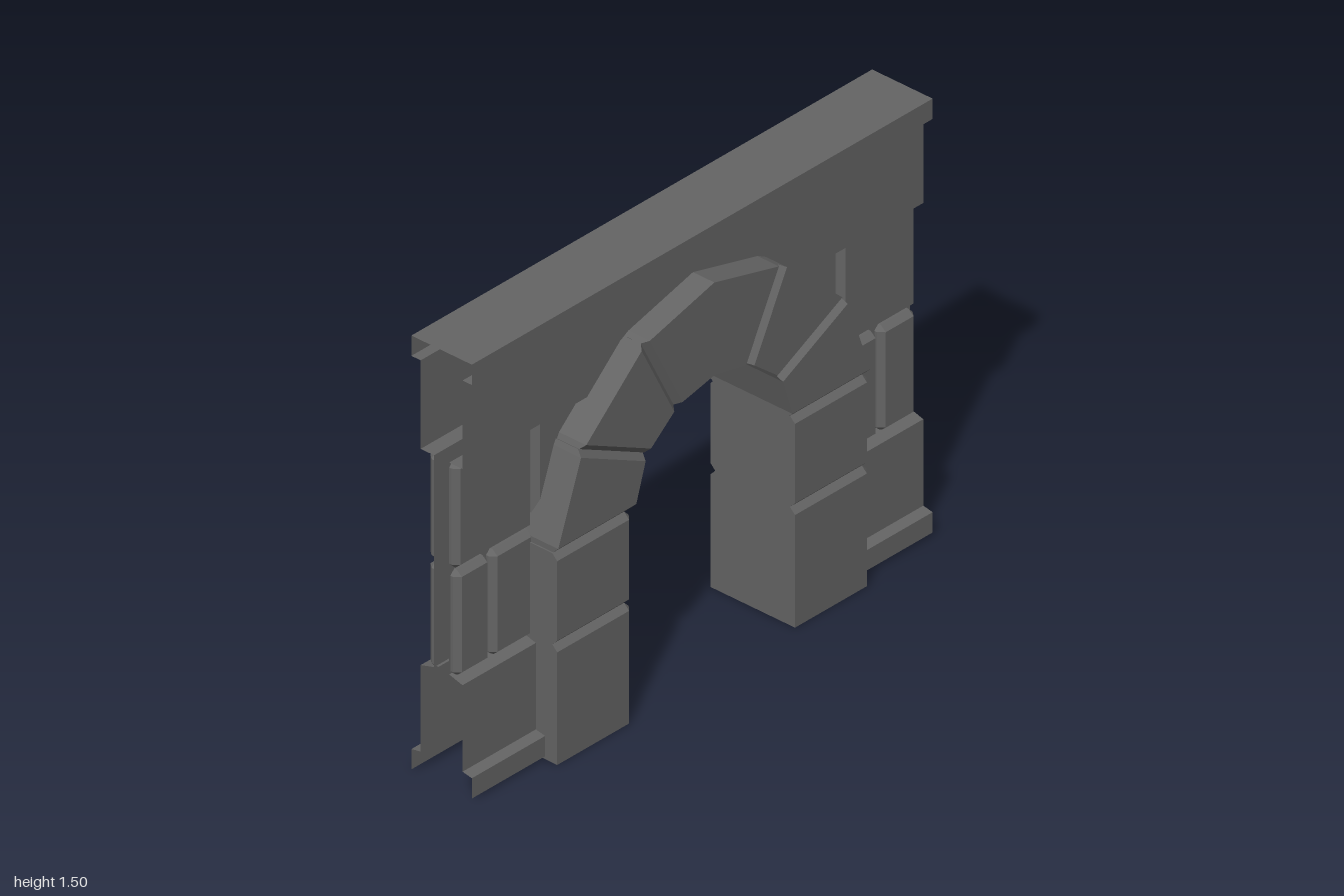
import * as THREE from 'three';

const stone = new THREE.MeshStandardMaterial({ color: 0x646464, side: THREE.DoubleSide });
stone.name = 'darkStone';

const V = (x, y) => new THREE.Vector2(x, y);

function mesh(name, positions) {
  const g = new THREE.BufferGeometry();
  g.setAttribute('position', new THREE.Float32BufferAttribute(positions, 3));
  g.computeVertexNormals();
  const m = new THREE.Mesh(g, stone);
  m.name = name;
  return m;
}

// Crossing point of two lines, each given by a point and a direction
function cross(p, d, q, e) {
  const t = ((q.x - p.x) * e.y - (q.y - p.y) * e.x) / (d.x * e.y - d.y * e.x);
  return V(p.x + d.x * t, p.y + d.y * t);
}

// Chamfered stone from a counter-clockwise outline. bevel[i] marks edges that are cut back.
// levels: list of [z, isCutBack] from back to front.
function stoneBlock(name, outline, bevel, inset, levels) {
  const pts = outline.map(([x, y]) => V(x, y));
  const n = pts.length;
  const dir = pts.map((p, i) => pts[(i + 1) % n].clone().sub(p).normalize());
  const inner = pts.map((p, i) => {
    const h = (i + n - 1) % n;
    const off = (k) => V(-dir[k].y, dir[k].x).multiplyScalar(bevel[k] ? inset : 0).add(p);
    return cross(off(h), dir[h], off(i), dir[i]);
  });
  const onEdge = (c, k) =>
    dir[k].clone().multiplyScalar(c.clone().sub(pts[k]).dot(dir[k])).add(pts[k]);
  const small = [], full = [];
  inner.forEach((c, i) => {
    small.push(c, c);
    full.push(onEdge(c, (i + n - 1) % n), onEdge(c, i));
  });
  const out = [];
  const put = (p, z) => out.push(p.x, p.y, z);
  for (let k = 0; k + 1 < levels.length; k++) {
    const [z0, s0] = levels[k], [z1, s1] = levels[k + 1];
    const a = s0 ? small : full, b = s1 ? small : full;
    for (let i = 0; i < 2 * n; i++) {
      const j = (i + 1) % (2 * n);
      put(a[i], z0); put(a[j], z0); put(b[j], z1);
      put(a[i], z0); put(b[j], z1); put(b[i], z1);
    }
  }
  // front and back faces
  for (const [a, b, c] of THREE.ShapeUtils.triangulateShape(inner, [])) {
    const [z0] = levels[0], [z1] = levels[levels.length - 1];
    put(inner[a], z1); put(inner[b], z1); put(inner[c], z1);
    put(inner[a], z0); put(inner[c], z0); put(inner[b], z0);
  }
  return mesh(name, out);
}

const rect = (x0, x1, y0, y1) => [[x0, y0], [x1, y0], [x1, y1], [x0, y1]];

// Open sheet swept along x from a list of [y, z]
function sheet(name, profile, x0, x1) {
  const out = [];
  for (let i = 0; i + 1 < profile.length; i++) {
    const [ya, za] = profile[i], [yb, zb] = profile[i + 1];
    out.push(x0, ya, za, x1, ya, za, x1, yb, zb, x0, ya, za, x1, yb, zb, x0, yb, zb);
  }
  return mesh(name, out);
}

export function createModel() {
  const root = new THREE.Group();
  root.name = 'stoneArchway';

  // Arch stones
  const arch = new THREE.Group();
  arch.name = 'arch';
  const D = 0.168, B = 0.02;
  const deep = [[-D, 1], [-D + B, 0], [D - B, 0], [D, 1]];
  const add = (name, outline, bevel) => arch.add(stoneBlock(name, outline, bevel, B, deep));

  for (const [side, x] of [['left', 0.35], ['right', -0.682]]) {
    add(side + 'JambBase', rect(x, x + 0.332, 0, 0.408), [0, 1, 1, 0]);
    add(side + 'JambUpper', rect(x, x + 0.332, 0.408, 0.722), [1, 1, 1, 0]);
  }

  const curved = [
    ['lowerVoussoir', [[0.345, 0.722], [0.685, 0.722], [0.572, 1.03], [0.292, 0.89]], [1, 0, 1, 0]],
    ['upperVoussoir', [[0.292, 0.89], [0.572, 1.03], [0.3, 1.272], [0.158, 0.997]], [1, 0, 1, 0]],
  ];
  for (const [name, p, f] of curved) {
    const n = p.length;
    add('left_' + name, p, f);
    add('right_' + name, p.map(([x, y]) => [-x, y]).reverse(),
      f.map((_, j) => f[(2 * n - 2 - j) % n]));
  }
  add('keystone',
    [[-0.158, 0.997], [0, 1.03], [0.158, 0.997], [0.3, 1.272], [0, 1.35], [-0.3, 1.272]],
    [0, 0, 1, 0, 0, 1]);
  root.add(arch);

  // One face of the wall; the other face is the same turned half round
  const lower = [[0.01, 0.12], [0.08, 0.12], [0.087, 0.083], [0.385, 0.083], [0.4, 0.03], [1.13, 0.03]];
  const upper = [[1.13, 0.03], [1.13, 0.083], [1.435, 0.083], [1.435, 0.12], [1.505, 0.12], [1.505, 0]];
  const bricks = [
    [-1, -0.665, 0.765, 1.13], [-0.655, -0.44, 0.765, 1.13],
    [-0.995, -0.85, 0.392, 0.755], [-0.84, -0.6, 0.392, 0.755],
    [0.67, 1, 0.765, 1.13], [0.44, 0.66, 0.765, 1.13],
    [0.845, 1, 0.392, 0.755], [0.68, 0.835, 0.392, 0.755],
  ];
  for (const [name, turn] of [['frontWall', 0], ['backWall', Math.PI]]) {
    const wall = new THREE.Group();
    wall.name = name;
    wall.add(sheet('corniceAndPanel', upper, -1, 1));
    wall.add(sheet('leftPlinthWall', lower, 0.45, 1), sheet('rightPlinthWall', lower, -1, -0.45));
    bricks.forEach((b, i) => wall.add(
      stoneBlock('brick' + (i + 1), rect(...b), [1, 1, 1, 1], 0.017, [[0.03, 0], [0.04, 0], [0.06, 1]])));
    wall.rotation.y = turn;
    root.add(wall);
  }
  return root;
}
